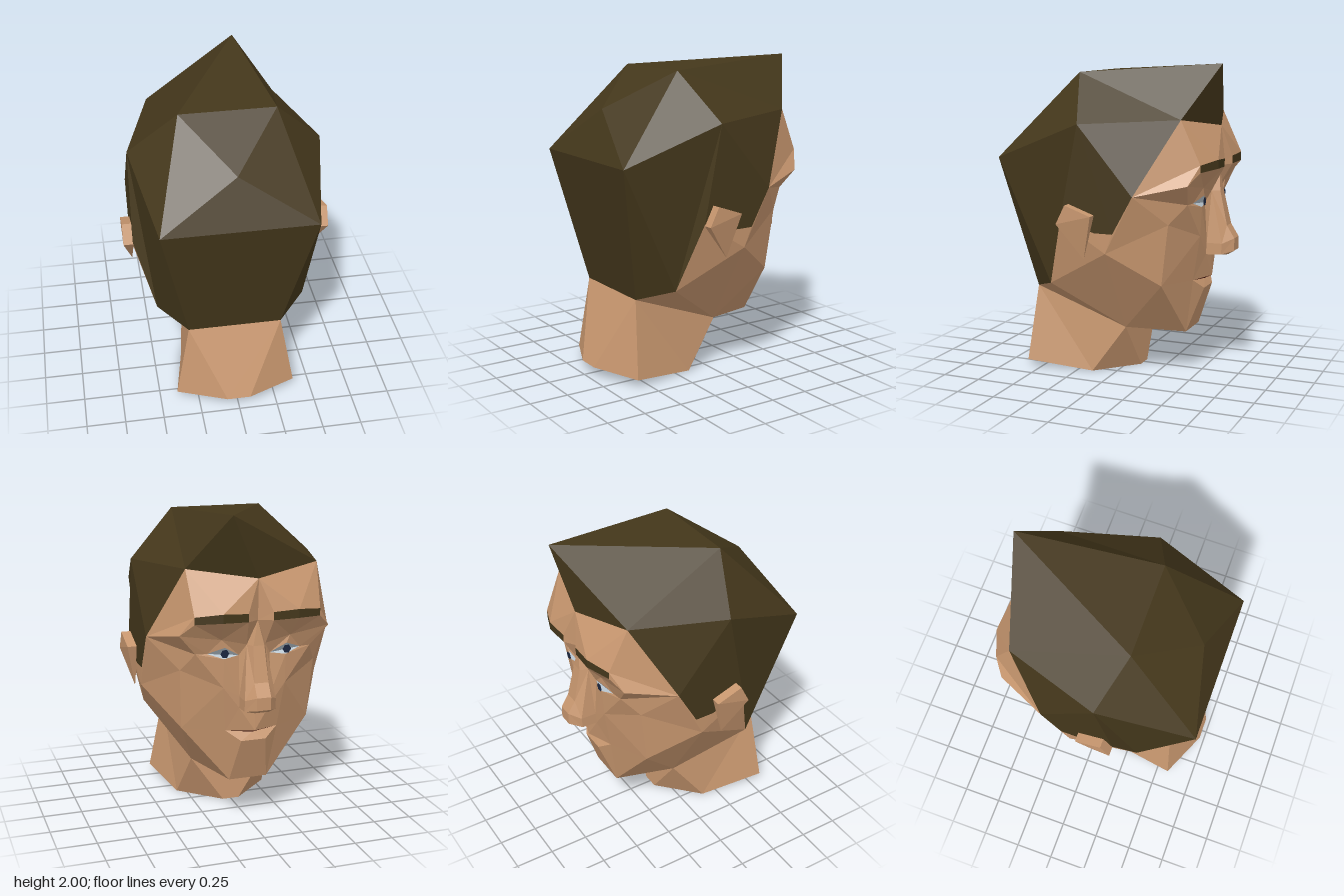
import * as THREE from 'three';

const SKIN = 0xc8976f, HAIR = 0x44371b;

// Landmarks of the +x half; the face looks towards -z. A "-" before a name mirrors it.
const pts = {
  // hair
  P: [0.18, 2, -0.67], T: [0.3, 1.94, 0.23], S: [0.605, 1.64, 0.11], B: [0.48, 1.4, 0.72], C: [0, 1.7, 0.59],
  F: [0.42, 1.67, -0.49], M: [0, 1.61, -0.61], E: [0.605, 1.215, -0.25], H1: [0.605, 0.98, -0.12],
  H2: [0.605, 0.98, 0], R: [0.605, 1.04, 0.23], J: [0.48, 0.61, 0.36], N: [0.3, 0.54, 0.54],
  // brow and eye socket
  O: [0.48, 1.28, -0.555], K: [0.4, 1.4, -0.61], G: [0.24, 1.42, -0.67], I: [0.08, 1.41, -0.66],
  K2: [0.4, 1.355, -0.61], G2: [0.24, 1.365, -0.67], I2: [0.08, 1.36, -0.66], Z: [0, 1.355, -0.6],
  U: [0.22, 1.24, -0.57], a: [0.3, 1.15, -0.53], b: [0.2, 1.19, -0.57], c: [0.1, 1.13, -0.54], d: [0.2, 1.115, -0.555],
  // nose
  n1: [0.06, 1.2, -0.57], r1: [0.035, 1.2, -0.62], r2: [0.045, 0.98, -0.67], t: [0.045, 0.9, -0.72],
  t2: [0.045, 0.82, -0.72], bb: [0.045, 0.795, -0.68], wf: [0.1, 0.87, -0.655], wf2: [0.1, 0.8, -0.65],
  wr: [0.1, 0.87, -0.555], wr2: [0.1, 0.795, -0.55], nb: [0, 0.795, -0.555],
  // cheeks, mouth and jaw
  V: [0.37, 1.15, -0.52], Q: [0.44, 1.03, -0.42], W: [0.2, 0.93, -0.545], X: [0.42, 0.64, -0.37],
  Y: [0.6, 0.855, -0.07], L: [0.27, 0.31, -0.07], u0: [0, 0.64, -0.56], m: [0.17, 0.635, -0.49],
  l0: [0, 0.615, -0.51], c0: [0.08, 0.57, -0.535], Ch: [0.125, 0.28, -0.43],
  // neck base
  A: [0.075, 0.065, 0.72], A2: [0.39, 0.05, 0.58], A3: [0.31, 0, 0.15], A4: [0.055, 0, -0.09],
  // ear
  e1: [0.665, 1.09, 0], e2: [0.665, 1.15, 0.17], e3: [0.665, 1.03, 0.23],
  i1: [0.6, 1.09, 0], i2: [0.6, 1.15, 0.17], i3: [0.6, 1.03, 0.23], eb: [0.605, 0.81, 0.07],
};

const point = (name) => {
  const mirrored = name.startsWith('-');
  const [x, y, z] = pts[mirrored ? name.slice(1) : name];
  return new THREE.Vector3(mirrored ? -x : x, y, z);
};
const flip = (name) => (name.startsWith('-') ? name.slice(1) : '-' + name);

// Faceted shell from polygons written as point names; each facet turns away from the centre.
function shell(name, color, faces, centre = [0, 1, 0.1]) {
  const out = [], mid = new THREE.Vector3(...centre);
  for (const face of faces) {
    const v = face.map(point);
    for (let i = 1; i < v.length - 1; i++) {
      const tri = new THREE.Triangle(v[0], v[i], v[i + 1]);
      const away = tri.getMidpoint(new THREE.Vector3()).sub(mid);
      const order = tri.getNormal(new THREE.Vector3()).dot(away) > 0 ? [tri.a, tri.b, tri.c] : [tri.a, tri.c, tri.b];
      for (const p of order) out.push(p.x, p.y, p.z);
    }
  }
  const geo = new THREE.BufferGeometry();
  geo.setAttribute('position', new THREE.Float32BufferAttribute(out, 3));
  geo.computeVertexNormals();
  const mesh = new THREE.Mesh(geo, new THREE.MeshStandardMaterial({ color, flatShading: true, side: THREE.DoubleSide }));
  mesh.name = name;
  return mesh;
}

const parse = (text) => text.split(',').map((f) => f.trim().split(' '));
// Half faces are repeated on the other side; middle faces are used once.
const both = (half, middle = '') => {
  const h = parse(half);
  return [...h, ...h.map((f) => f.map(flip)), ...(middle ? parse(middle) : [])];
};

export function createModel() {
  const model = new THREE.Group();
  model.name = 'head';

  // Hair cap with the off-centre quiff
  model.add(shell('hair', HAIR, both(
    'T S F, T B S, T C B, S E F, S H1 E, S H2 H1, S R H2, S J R, S B J, B N J',
    'P T -T, P F T, P -T -F, P M F, P -F M, T -T C, C -B B, B -B -N N')));

  // Forehead, temples and eye sockets
  model.add(shell('upperFace', SKIN, both(
    `M G F, F G K, M I G, M Z I, F K E, E K O, O K K2, I Z I2,
     O K2 U, U K2 G2, U G2 I2, I2 Z n1, I2 n1 U,
     O U a, U b a, U c b, U n1 c, O a V, E O V, E V Q, V a d, V d W, V W Q,
     c n1 wr, d c wr, d wr W`), [0, 0.95, 0.2]));

  // Cheeks, jaw and chin
  model.add(shell('lowerFace', SKIN, both(
    `W wr wr2, wr2 nb u0, wr2 u0 m, W wr2 m, W m X, Q W X,
     E Q Y, Q X Y, Y X L, Y L J, J L N, X Ch L, X m Ch, m c0 Ch, l0 c0 m,
     E Y H1, H1 Y H2, H2 Y R, R Y J`,
    'c0 Ch -Ch -c0, l0 c0 -c0, L Ch -Ch -L')));

  // Nose
  model.add(shell('nose', SKIN, both(
    `Z r1 n1, n1 r1 r2, n1 r2 wf, n1 wf wr, r2 t wf, t t2 wf2 wf, wf wf2 wr2 wr,
     t2 bb wf2, bb wr2 wf2, bb nb wr2`,
    'Z r1 -r1, r1 r2 -r2 -r1, r2 t -t -r2, t t2 -t2 -t, t2 bb -bb -t2, bb nb -bb'), [0, 0.95, -0.5]));

  // Mouth
  model.add(shell('mouth', 0x55190f, both('u0 l0 m')));

  // Neck with a closed, sloping base
  model.add(shell('neck', SKIN, both(
    'N A A2, N A2 A3, N A3 L, L A3 A4',
    'N -N -A A, L A4 -A4 -L, A A2 -A2 -A, A2 A3 -A3 -A2, A3 A4 -A4 -A3'), [0, 0.3, 0.25]));

  for (const side of [1, -1]) {
    const label = side > 0 ? 'left' : 'right';
    const own = (text) => parse(text).map((f) => (side > 0 ? f : f.map(flip)));
    model.add(shell(label + 'Eyebrow', HAIR, own('K G G2 K2, G I I2 G2')));
    model.add(shell(label + 'Eye', 0xb8c6d0, own('a b c d')));
    model.add(shell(label + 'Ear', SKIN,
      own('e1 e2 e3, e1 e3 eb, e1 eb i1, e3 i3 eb, e1 i1 i2 e2, e2 i2 i3 e3'), [side * 0.61, 1.02, 0.1]));

    // Iris
    const iris = new THREE.Mesh(new THREE.CircleGeometry(0.028, 6),
      new THREE.MeshStandardMaterial({ color: 0x1c2740, flatShading: true }));
    iris.name = label + 'Iris';
    iris.rotation.y = Math.PI;
    iris.position.set(side * 0.2, 1.152, -0.572);
    model.add(iris);
  }
  return model;
}
